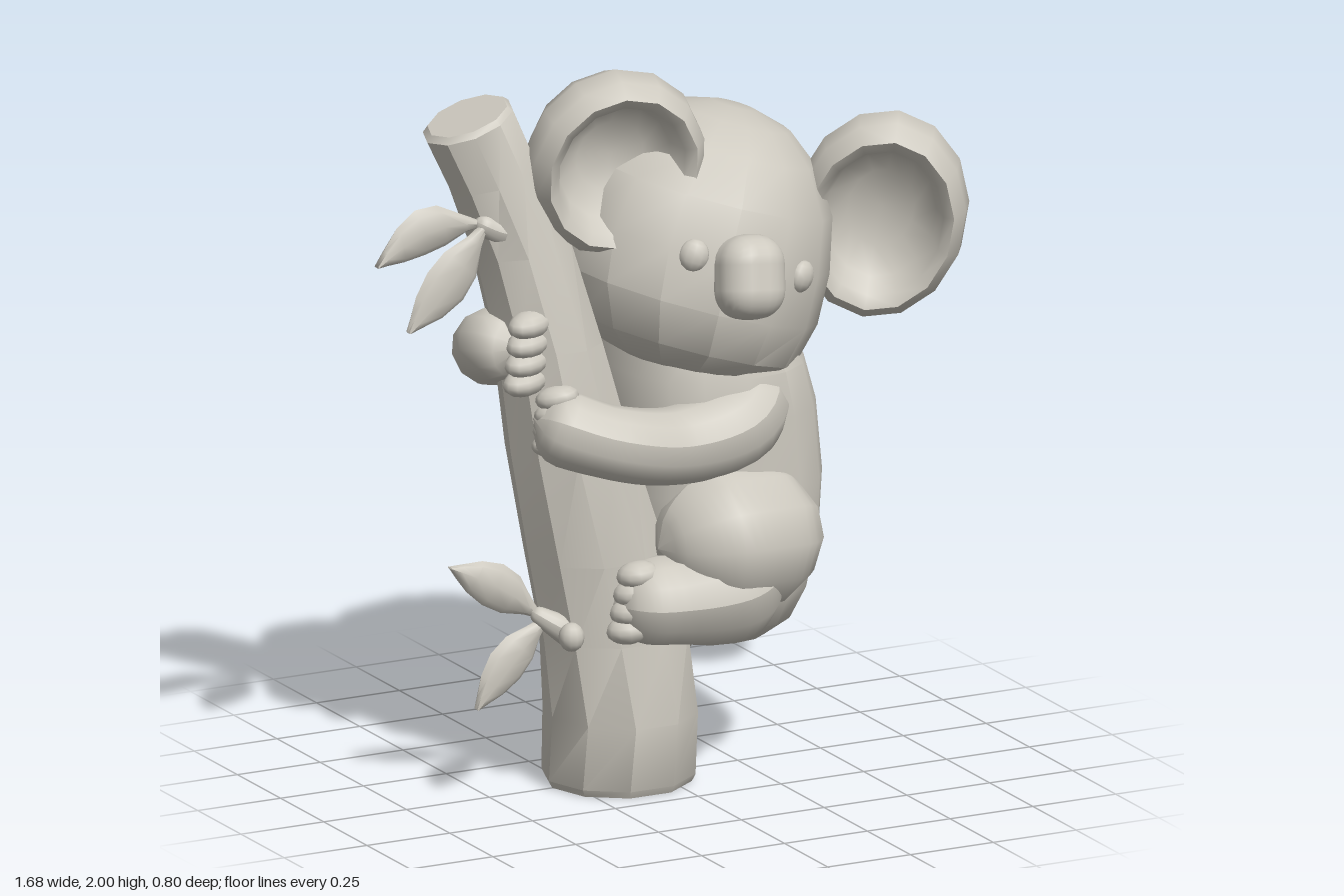
import * as THREE from 'three';
import { toCreasedNormals } from 'three/addons/utils/BufferGeometryUtils.js';
import { RoundedBoxGeometry } from 'three/addons/geometries/RoundedBoxGeometry.js';

const clay = new THREE.MeshStandardMaterial({ color: 0xcdc9bf });
clay.name = 'warmGreyClay';

function add(parent, name, geo, pos = [0, 0, 0], rot = [0, 0, 0]) {
  const mesh = new THREE.Mesh(geo, clay);
  mesh.name = name;
  mesh.position.set(...pos);
  mesh.rotation.set(...rot);
  parent.add(mesh);
  return mesh;
}

// Stack of oval sections: [y, centreX, centreZ, radiusX, radiusZ, slope]; power below 1 squares them
function loft(rings, sides, crease = 0.6, power = 1) {
  const pos = [], idx = [];
  const bend = t => Math.sign(t) * Math.abs(t) ** power;
  for (const [y, cx, cz, rx, rz, slope = 0] of rings) {
    for (let j = 0; j < sides; j++) {
      const a = (j / sides) * Math.PI * 2, dx = bend(Math.cos(a)) * rx;
      pos.push(cx + dx, y + slope * dx, cz + bend(Math.sin(a)) * rz);
    }
  }
  const n = rings.length;
  for (let i = 0; i < n - 1; i++) {
    for (let j = 0; j < sides; j++) {
      const a = i * sides + j, b = i * sides + (j + 1) % sides;
      idx.push(a, a + sides, b, b, a + sides, b + sides);
    }
  }
  // End caps
  const lo = n * sides, hi = lo + 1, top = (n - 1) * sides;
  for (const [y, cx, cz] of [rings[0], rings[n - 1]]) pos.push(cx, y, cz);
  for (let j = 0; j < sides; j++) {
    const k = (j + 1) % sides;
    idx.push(lo, j, k, hi, top + k, top + j);
  }
  const g = new THREE.BufferGeometry();
  g.setAttribute('position', new THREE.Float32BufferAttribute(pos, 3));
  g.setIndex(idx);
  return toCreasedNormals(g, crease);
}

// Tube with changing radius and rounded ends
function limb(points, radii, sides = 12) {
  const curve = new THREE.CatmullRomCurve3(points.map(p => new THREE.Vector3(...p)));
  const n = 24, g = new THREE.TubeGeometry(curve, n, 1, sides, false);
  const p = g.attributes.position, v = new THREE.Vector3(), length = curve.getLength();
  for (let i = 0; i <= n; i++) {
    const u = i / n, c = curve.getPointAt(u);
    const f = u * (radii.length - 1), k = Math.min(Math.floor(f), radii.length - 2);
    let r = THREE.MathUtils.lerp(radii[k], radii[k + 1], f - k);
    const e = Math.min(1, Math.min(u, 1 - u) * length / r);
    r *= Math.sqrt(Math.max(0, 1 - (1 - e) ** 2));
    for (let j = 0; j <= sides; j++) {
      const q = i * (sides + 1) + j;
      v.fromBufferAttribute(p, q).sub(c).multiplyScalar(r).add(c);
      p.setXYZ(q, v.x, v.y, v.z);
    }
  }
  g.computeVertexNormals();
  return g;
}

const blob = (x, y, z) => new THREE.SphereGeometry(1, 12, 8).scale(x, y, z);

// Thick cupped ear: rounded back, fat rim, shallow hollow
function ear(rx, ry, depth) {
  const profile = [[0, -0.52], [0.5, -0.47], [0.82, -0.31], [1, 0], [0.97, 0.22], [0.84, 0.36],
    [0.72, 0.3], [0.63, 0.08], [0.38, -0.06], [0, -0.1]];
  const g = new THREE.LatheGeometry(profile.map(p => new THREE.Vector2(...p)), 14);
  return toCreasedNormals(g.rotateX(Math.PI / 2).scale(rx, ry, depth), 0.9);
}

// Flat pointed leaf between two points, with a sideways bow
function leaf(parent, name, from, to, width, bow) {
  const dx = to[0] - from[0], dy = to[1] - from[1], len = Math.hypot(dx, dy);
  const shape = [[0, 0.12], [0.15, 0.4], [0.35, 0.9], [0.55, 1], [0.75, 0.75], [0.9, 0.35], [1, 0.04]];
  const rings = shape.map(([t, w]) => [t * len, bow * Math.sin(t * Math.PI), 0, w * width, 0.012 + 0.014 * w]);
  add(parent, name, loft(rings, 8, 0.9), from, [0, 0, Math.atan2(-dx, dy)]);
}

export function createModel() {
  const root = new THREE.Group();
  root.name = 'koalaOnTrunk';

  // Leaning faceted trunk
  add(root, 'trunk', loft([
    [0, -0.11, 0, 0.2, 0.195], [0.02, -0.11, 0, 0.21, 0.205], [0.2, -0.11, 0.01, 0.205, 0.225],
    [0.42, -0.13, 0.01, 0.21, 0.18], [0.65, -0.185, 0.01, 0.2, 0.18],
    [0.95, -0.26, 0, 0.175, 0.17], [1.25, -0.32, -0.01, 0.15, 0.15],
    [1.52, -0.385, -0.04, 0.135, 0.135, 0.15], [1.72, -0.46, -0.06, 0.122, 0.12, 0.3],
    [1.87, -0.523, -0.08, 0.122, 0.122, 0.36], [1.885, -0.525, -0.08, 0.108, 0.108, 0.36]], 10));

  // Twigs and leaves
  const foliage = new THREE.Group();
  foliage.name = 'foliage';
  root.add(foliage);
  leaf(foliage, 'upperLongLeaf', [-0.53, 1.61, 0.01], [-0.845, 1.53, 0.01], 0.066, 0.045);
  leaf(foliage, 'upperHangingLeaf', [-0.53, 1.61, 0.03], [-0.76, 1.34, 0.03], 0.07, -0.01);
  leaf(foliage, 'lowerRisingLeaf', [-0.37, 0.5, 0.04], [-0.64, 0.67, 0.04], 0.062, 0.015);
  leaf(foliage, 'lowerHangingLeaf', [-0.36, 0.5, 0.06], [-0.57, 0.27, 0.06], 0.06, 0.01);
  add(foliage, 'upperTwig', limb([[-0.42, 1.57, 0.02], [-0.49, 1.59, 0.02], [-0.55, 1.62, 0.02]], [0.05, 0.025]));
  add(foliage, 'lowerTwig', limb([[-0.27, 0.44, 0.08], [-0.34, 0.48, 0.08], [-0.4, 0.52, 0.05]], [0.05, 0.02]));
  add(foliage, 'twigKnob', blob(0.035, 0.04, 0.035), [-0.325, 0.46, 0.14]);

  // Full, slightly squared torso
  add(root, 'body', loft([
    [0.335, 0.2, -0.08, 0.06, 0.08], [0.355, 0.2, -0.08, 0.14, 0.16], [0.41, 0.2, -0.08, 0.205, 0.235],
    [0.5, 0.2, -0.08, 0.25, 0.275], [0.64, 0.2, -0.08, 0.282, 0.295], [0.8, 0.2, -0.085, 0.295, 0.298],
    [1.0, 0.19, -0.085, 0.285, 0.298], [1.13, 0.17, -0.08, 0.265, 0.295], [1.24, 0.15, -0.07, 0.21, 0.24]],
  16, 0.6, 0.8));

  // Tilted head with wide jaw, nose and eyes
  const head = new THREE.Group();
  head.name = 'head';
  head.position.set(0.155, 1.48, -0.04);
  head.rotation.z = -0.31;
  root.add(head);
  add(head, 'skull', loft([
    [-0.36, 0.03, 0.03, 0.15, 0.13], [-0.335, 0.03, 0.03, 0.24, 0.21], [-0.28, 0.025, 0.02, 0.32, 0.29],
    [-0.16, 0.005, 0.01, 0.37, 0.345], [-0.02, 0, -0.01, 0.378, 0.355], [0.13, 0, -0.02, 0.345, 0.34],
    [0.25, 0.01, -0.03, 0.26, 0.265], [0.32, 0.02, -0.04, 0.165, 0.17], [0.35, 0.02, -0.04, 0.06, 0.06]], 14));
  add(head, 'nose', new RoundedBoxGeometry(0.19, 0.23, 0.18, 3, 0.08), [-0.02, -0.04, 0.345], [-0.25, 0, 0.2]);
  for (const s of [-1, 1]) add(head, 'eye', blob(0.042, 0.045, 0.03), [s * 0.17, -0.02, 0.29], [0, s * 0.45, 0]);

  // Ears
  add(root, 'leftEar', ear(0.235, 0.3, 0.29), [0.625, 1.515, 0.11], [0.18, -0.5, -0.08]);
  add(root, 'rightEar', ear(0.245, 0.26, 0.33), [-0.145, 1.745, 0.03], [0.12, -0.2, -0.4]);

  // Arms wrapped around the trunk
  add(root, 'leftArm', limb([[0.27, 1.1, 0.06], [0.17, 1.0, 0.15], [-0.02, 0.965, 0.175],
    [-0.22, 1.0, 0.185], [-0.42, 1.075, 0.1]], [0.12, 0.12, 0.105, 0.1, 0.11]));
  add(root, 'rightArm', limb([[0.24, 1.09, -0.22], [0.05, 1.1, -0.29], [-0.2, 1.13, -0.275],
    [-0.4, 1.19, -0.18], [-0.46, 1.25, -0.04], [-0.43, 1.26, 0.06]], [0.12, 0.1, 0.095, 0.095, 0.1, 0.1]));
  for (let i = 0; i < 4; i++) {
    add(root, 'leftFinger', blob(0.06, 0.034, 0.045), [-0.375 + 0.004 * i, 1.005 + i * 0.042, 0.13], [0, -0.5, 0.2]);
    add(root, 'rightFinger', blob(0.075, 0.038, 0.05), [-0.435 + 0.005 * i, 1.175 + i * 0.053, 0.085], [0, 0.4, 0.1]);
  }

  // Legs and feet
  add(root, 'leftThigh', limb([[0.36, 0.65, 0.04], [0.26, 0.67, 0.13], [0.13, 0.685, 0.175], [-0.08, 0.68, 0.17]],
    [0.13, 0.2, 0.2, 0.15]));
  add(root, 'leftShin', limb([[0.24, 0.6, 0.17], [0.1, 0.56, 0.205], [-0.05, 0.545, 0.2], [-0.22, 0.55, 0.18]],
    [0.16, 0.155, 0.125, 0.115]));
  for (let i = 0; i < 4; i++) {
    add(root, 'leftToe', blob(0.06, 0.038, 0.05), [-0.19 + 0.01 * i, 0.48 + i * 0.05, 0.21], [0, -0.3, 0.1]);
    add(root, 'rightToe', blob(0.035, 0.055, 0.045), [-0.075 + i * 0.035, 0.145 - i * 0.014, -0.25], [0, 0, -0.4]);
  }
  add(root, 'rightLeg', limb([[0.22, 0.46, -0.18], [0.14, 0.33, -0.21], [0.06, 0.22, -0.225], [-0.04, 0.12, -0.225]],
    [0.11, 0.085, 0.08, 0.085]));

  return root;
}
